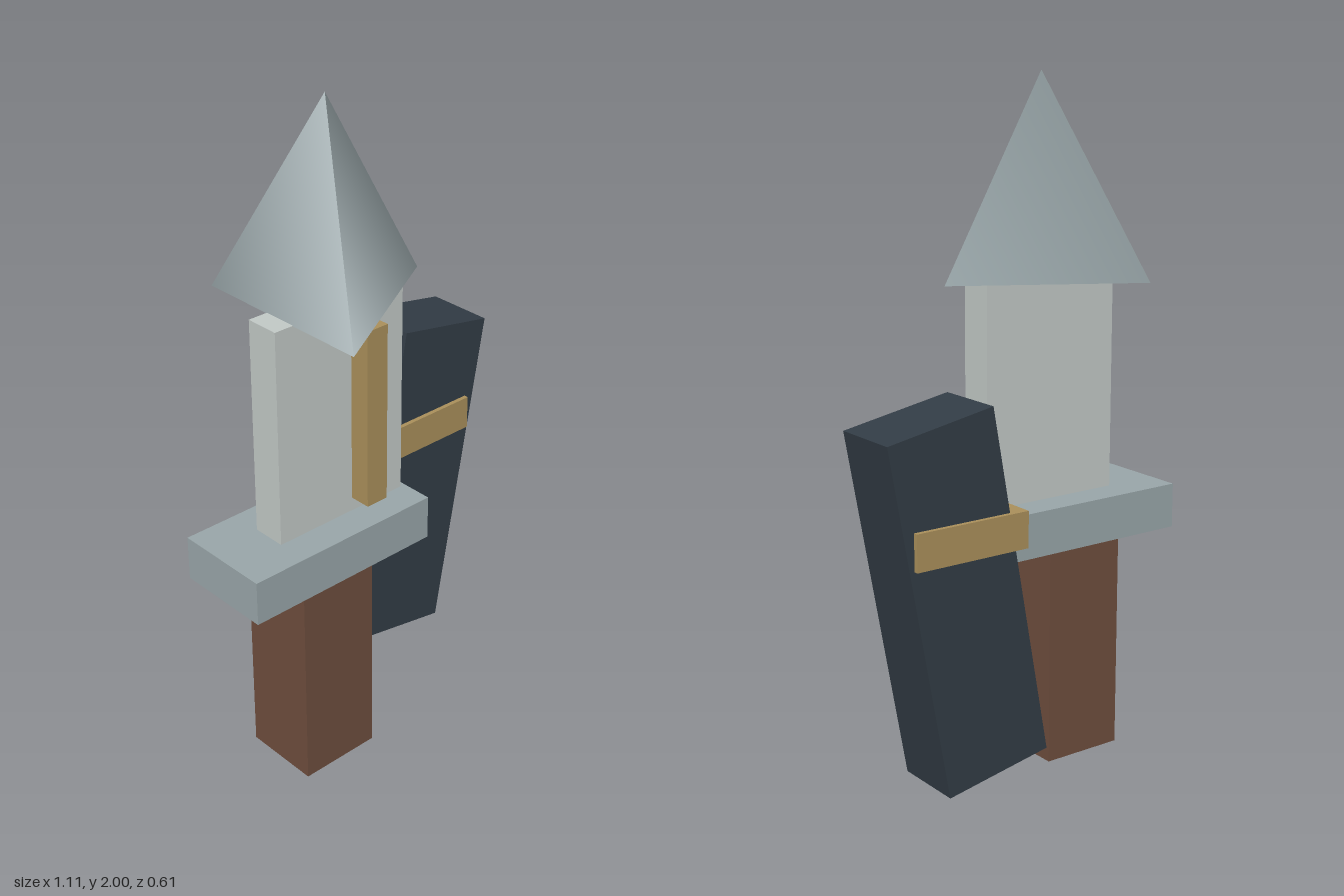
import * as THREE from 'three';

const STEEL = 0x98a5a8, PALE = 0xc1c8c5, GOLD = 0xa98f5a, BROWN = 0x6d4d3d, DARK = 0x323c45;

function addPart(group, name, geometry, color, x, y, z) {
  const mesh = new THREE.Mesh(geometry, new THREE.MeshStandardMaterial({ color }));
  mesh.name = name;
  mesh.position.set(x, y, z);
  group.add(mesh);
  return mesh;
}

const box = (w, h, d) => new THREE.BoxGeometry(w, h, d);

export function createModel() {
  const model = new THREE.Group();
  model.name = 'swordAndSheath';

  // Sword, standing on its handle
  const sword = new THREE.Group();
  sword.name = 'sword';
  addPart(sword, 'handle', box(0.254, 0.656, 0.24), BROWN, -0.244, 0.328, 0.021);
  addPart(sword, 'guard', box(0.63, 0.133, 0.298), STEEL, -0.241, 0.722, 0.02);
  addPart(sword, 'blade', box(0.448, 0.643, 0.104), PALE, -0.166, 1.11, 0.02);
  addPart(sword, 'bladeInlay', box(0.072, 0.54, 0.066), GOLD, -0.094, 1.1, 0.104);

  // Three-sided smooth-shaded tip with one corner towards +x
  const tip = addPart(sword, 'bladeTip', new THREE.ConeGeometry(0.328, 0.57, 3), STEEL, -0.166, 1.715, 0.02);
  tip.rotation.y = Math.PI / 2;

  // Leaning sheath with a level band around it
  const scabbard = new THREE.Group();
  scabbard.name = 'scabbard';
  const sheath = addPart(scabbard, 'sheath', box(0.332, 1.019, 0.21), DARK, 0.3, 0.633, -0.191);
  sheath.rotation.z = -0.18;
  addPart(scabbard, 'sheathBand', box(0.356, 0.104, 0.237), GOLD, 0.3, 0.815, -0.191);

  model.add(sword, scabbard);
  return model;
}
